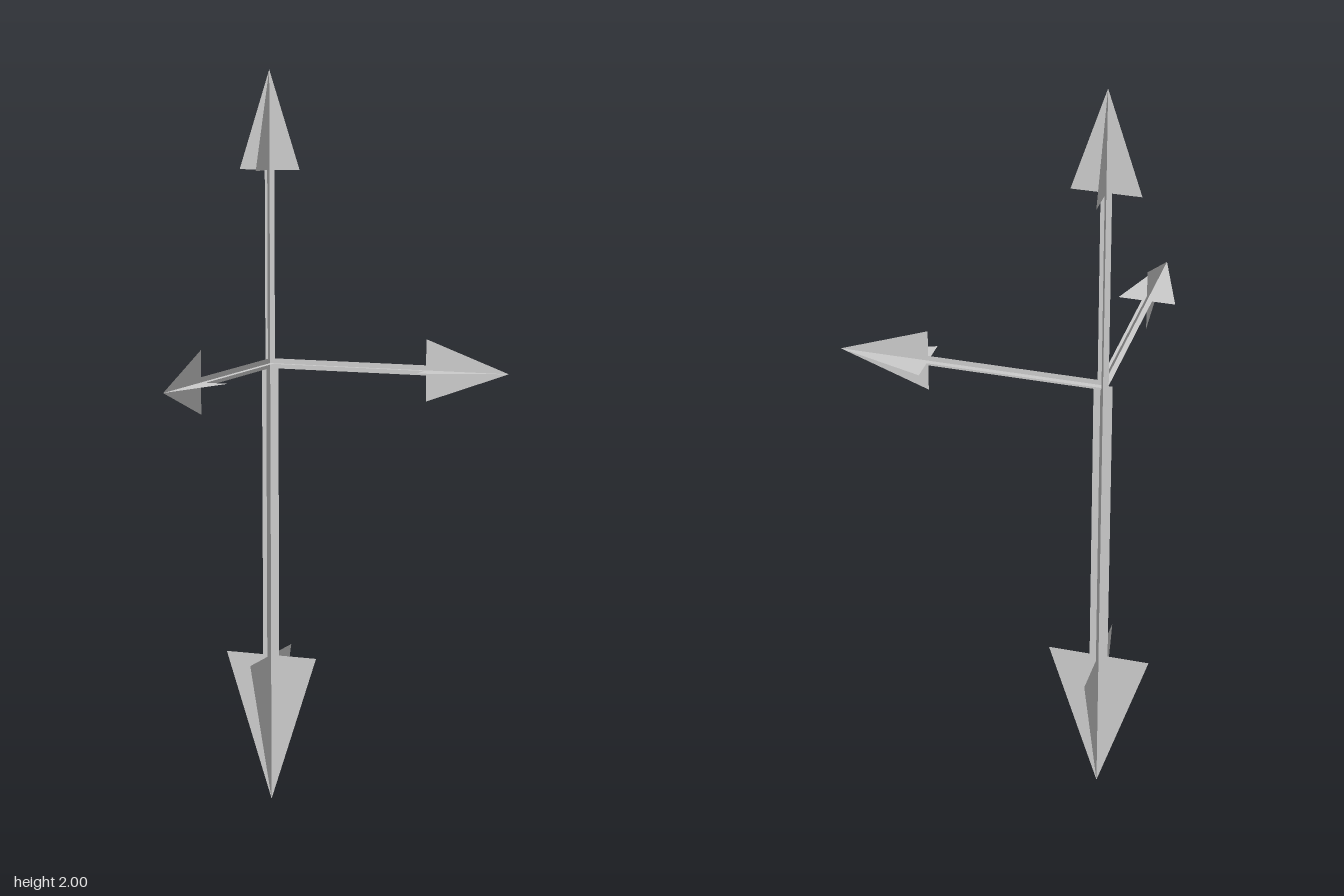
import * as THREE from 'three';

const ORIGIN = new THREE.Vector3(-0.272, 1.215, -0.267);

// Flat arrow outline along +y: shaft half width s, head half width h
function arrowBlade(length, neck, s, h, material) {
  const shape = new THREE.Shape([
    [-s, 0], [s, 0], [s, neck], [h, neck], [0, length], [-h, neck], [-s, neck],
  ].map(([x, y]) => new THREE.Vector2(x, y)));
  return new THREE.Mesh(new THREE.ShapeGeometry(shape), material);
}

// Two blades crossed at right angles; a and b are [shaft, head] half widths
function crossedArrow(name, length, neck, a, b, material) {
  const arrow = new THREE.Group();
  arrow.name = name;
  const first = arrowBlade(length, neck, ...a, material);
  first.name = name + 'BladeA';
  const second = arrowBlade(length, neck, ...b, material);
  second.name = name + 'BladeB';
  second.rotation.y = Math.PI / 2;
  arrow.add(first, second);
  arrow.position.copy(ORIGIN);
  return arrow;
}

export function createModel() {
  const model = new THREE.Group();
  model.name = 'axisArrows';
  const material = new THREE.MeshStandardMaterial({
    color: 0xcccccc, side: THREE.DoubleSide, flatShading: true,
  });

  const up = crossedArrow('upArrow', 0.785, 0.52, [0.014, 0.087], [0.016, 0.094], material);

  // The larger arrow points down
  const down = crossedArrow('downArrow', 1.215, 0.807, [0.024, 0.133], [0.027, 0.145], material);
  down.rotation.x = Math.PI;

  // Side arrow along +x
  const side = crossedArrow('sideArrow', 0.676, 0.447, [0.0135, 0.083], [0.0135, 0.076], material);
  side.rotation.z = -Math.PI / 2;

  // Front arrow along +z
  const front = crossedArrow('frontArrow', 0.679, 0.452, [0.0135, 0.075], [0.0135, 0.083], material);
  front.rotation.x = Math.PI / 2;

  model.add(up, down, side, front);
  return model;
}
